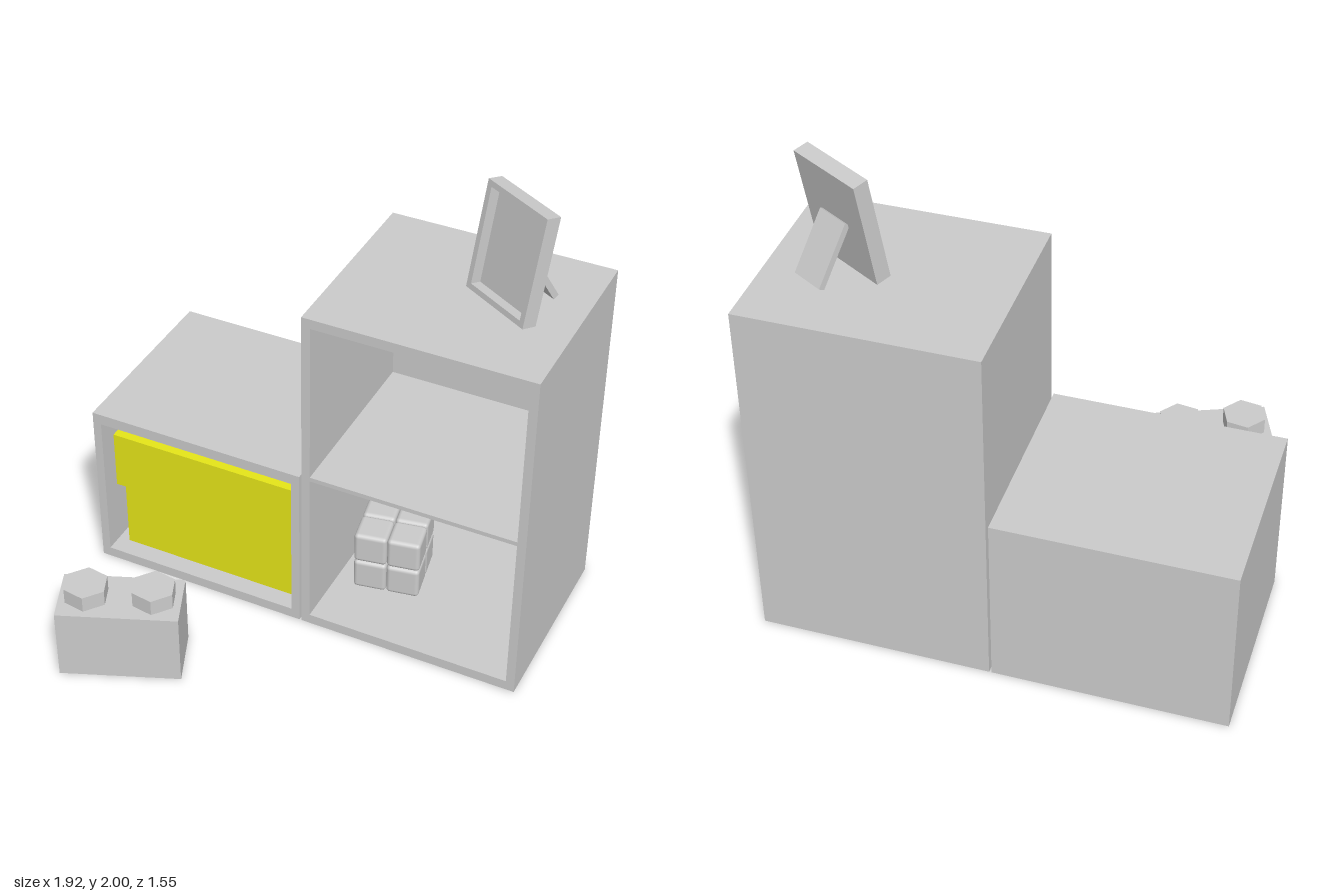
import * as THREE from 'three';
import { RoundedBoxGeometry } from 'three/addons/geometries/RoundedBoxGeometry.js';

const grey = new THREE.MeshStandardMaterial({ color: 0xcccccc });
const flatGrey = new THREE.MeshStandardMaterial({ color: 0xcccccc, flatShading: true });
const yellow = new THREE.MeshStandardMaterial({ color: 0xe6e619 });

function add(parent, name, geometry, material, x = 0, y = 0, z = 0) {
  const mesh = new THREE.Mesh(geometry, material);
  mesh.name = name;
  mesh.position.set(x, y, z);
  parent.add(mesh);
  return mesh;
}

function group(parent, name, x, y, z, yaw = 0) {
  const g = new THREE.Group();
  g.name = name;
  g.position.set(x, y, z);
  g.rotation.y = yaw;
  parent.add(g);
  return g;
}

// Rectangular path from corner to corner
function rect(path, x0, y0, x1, y1) {
  path.moveTo(x0, y0);
  path.lineTo(x1, y0);
  path.lineTo(x1, y1);
  path.lineTo(x0, y1);
  path.closePath();
  return path;
}

// Rectangle with rectangular holes, extruded towards +z
function pierced(outer, holes, depth) {
  const shape = rect(new THREE.Shape(), ...outer);
  for (const h of holes) shape.holes.push(rect(new THREE.Path(), ...h));
  return new THREE.ExtrudeGeometry(shape, { depth, bevelEnabled: false });
}

// Open-fronted cabinet: walls and shelves in one piece, plus a back panel
function addCabinet(parent, name, x, height, openings) {
  const w = 0.955, depth = 0.83, back = 0.035;
  const g = group(parent, name, x, 0, -0.78);
  const holes = openings.map(([y0, y1]) => [-w / 2 + 0.037, y0, w / 2 - 0.037, y1]);
  add(g, name + 'Walls', pierced([-w / 2, 0, w / 2, height], holes, depth - back), grey, 0, 0, back);
  add(g, name + 'Back', new THREE.BoxGeometry(w, height, back), grey, 0, height / 2, back / 2);
}

export function createModel() {
  const model = new THREE.Group();
  model.name = 'shelfWithToys';

  addCabinet(model, 'lowCabinet', -0.4825, 0.768, [[0.045, 0.72]]);
  addCabinet(model, 'tallCabinet', 0.4825, 1.54, [[0.045, 0.763], [0.782, 1.498]]);

  // Storage box with an overhanging lid
  const box = group(model, 'storageBox', -0.476, 0.045, -0.365);
  add(box, 'boxBody', new THREE.BoxGeometry(0.796, 0.325, 0.67), yellow, 0, 0.1625, 0);
  add(box, 'boxLid', new THREE.BoxGeometry(0.85, 0.265, 0.72), yellow, 0, 0.4575, 0);

  // Toy brick with two six-sided studs
  const brick = group(model, 'toyBrick', -0.555, 0, 0.56, 0.387);
  add(brick, 'brickBody', new THREE.BoxGeometry(0.498, 0.318, 0.248), grey, 0, 0.159, 0);
  for (const s of [-1, 1]) {
    add(brick, 'brickStud', new THREE.CylinderGeometry(0.094, 0.094, 0.07, 6), flatGrey, s * 0.137, 0.353, 0);
  }

  // Puzzle cube of eight rounded blocks
  const cube = group(model, 'puzzleCube', 0.2425, 0.19, -0.355, 0.18);
  const block = new RoundedBoxGeometry(0.142, 0.142, 0.142, 2, 0.018);
  for (const x of [-1, 1]) for (const y of [-1, 1]) for (const z of [-1, 1]) {
    add(cube, 'cubeBlock', block, grey, x * 0.071, y * 0.071, z * 0.071);
  }

  // Picture frame leaning back on its strut
  const stand = group(model, 'pictureFrame', 0.667, 1.77, -0.375, -0.53);
  const leaning = group(stand, 'leaningFrame', 0, 0, 0);
  leaning.rotation.x = -0.172;
  const w = 0.173, h = 0.2275, b = 0.024;
  add(leaning, 'frameBorder', pierced([-w, -h, w, h], [[-w + b, -h + b, w - b, h - b]], 0.045),
    grey, 0, 0, -0.013);
  add(leaning, 'frameBacking', new THREE.BoxGeometry(2 * w, 2 * h, 0.019), grey, 0, 0, -0.0225);
  const strut = add(stand, 'frameStrut', new THREE.BoxGeometry(0.146, 0.262, 0.026), grey, 0, -0.107, -0.102);
  strut.rotation.x = 0.545;

  return model;
}
